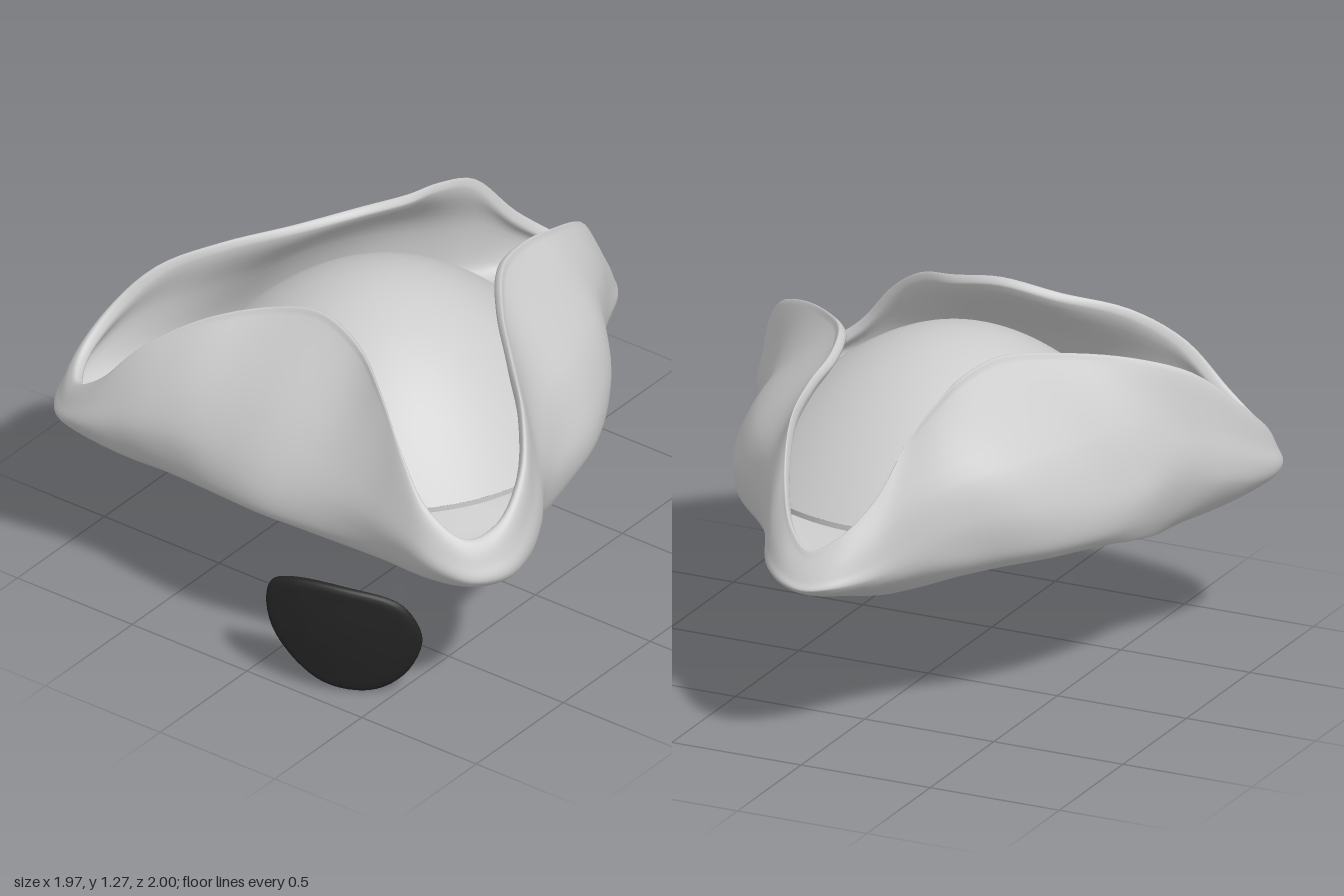
import * as THREE from 'three';

const V = (x, y, z) => new THREE.Vector3(x, y, z);

// Smooth skin through closed rings of matching control points.
function loft(rings, around, along) {
  const curves = rings.map(r => new THREE.CatmullRomCurve3(r, true, 'centripetal'));
  const pos = [], idx = [];
  for (let i = 0; i < around; i++) {
    const section = new THREE.CatmullRomCurve3(curves.map(c => c.getPoint(i / around)), false, 'centripetal');
    for (let j = 0; j <= along; j++) pos.push(...section.getPoint(j / along).toArray());
  }
  const n = along + 1;
  for (let i = 0; i < around; i++) {
    for (let j = 0; j < along; j++) {
      const a = i * n + j, b = ((i + 1) % around) * n + j;
      idx.push(a, a + 1, b, b, a + 1, b + 1);
    }
  }
  const g = new THREE.BufferGeometry();
  g.setAttribute('position', new THREE.Float32BufferAttribute(pos, 3));
  g.setIndex(idx);
  g.computeVertexNormals();
  return g;
}

// Half of the brim from back tip to front centre:
// [degrees around the crown, outer fold x, y, z, top edge x, y, z]
const STATIONS = [
  [0, 0, .645, -1, 0, .77, -.915],
  [8, .1, .655, -.97, .09, .82, -.87],
  [16, .2, .67, -.87, .17, .93, -.76],
  [28, .285, .69, -.7, .225, 1.12, -.6],
  [40, .4, .71, -.52, .24, 1.19, -.42],
  [54, .585, .72, -.32, .245, 1.225, -.25],
  [72, .71, .72, -.08, .3, 1.25, -.06],
  [88, .76, .72, .15, .44, 1.22, .13],
  [102, .81, .71, .36, .62, 1.17, .31],
  [112, .9, .68, .5, .78, 1.09, .46],
  [118, .955, .65, .64, .88, .95, .6],
  [124, .965, .635, .78, .9, .83, .75],
  [130, .89, .635, .89, .84, .79, .85],
  [138, .76, .66, .94, .7, .88, .885],
  [146, .58, .69, .93, .56, 1.04, .85],
  [156, .4, .7, .92, .4, 1.16, .75],
  [168, .2, .7, .94, .2, 1.23, .62],
  [180, 0, .7, .96, 0, 1.27, .575],
];
const CENTRE_Z = 0.2;

// Cross-section of the brim at one station, from the head opening
// out to the fold, up over the top edge and back down to the crown.
function brimSection([deg, ox, oy, oz, ex, ey, ez]) {
  const a = deg * Math.PI / 180;
  const corner = (1 + Math.cos(3 * a)) / 2, side = 1 - corner;
  const frontCorner = deg > 90 ? corner : 0;
  const around = (r, y) => V(r * Math.sin(a), y, CENTRE_Z - r * Math.cos(a));
  const rimY = 0.592 - 0.1 * Math.pow(corner, deg < 60 ? 2.5 : 1.2);
  const rimR = 0.69 + 0.05 * corner;
  const rim = around(rimR, rimY);
  const fold = V(ox, oy, oz), edge = V(ex, ey, ez);
  const out = V(ox, 0, oz - CENTRE_Z).normalize();
  const shift = (p, d, up = 0) => p.clone().addScaledVector(out, d).add(V(0, up, 0));
  const mix = (p, q, t) => p.clone().lerp(q, t);
  const bulge = (deg < 124 ? 0.09 : 0.05) * side + 0.025 * frontCorner;
  const wall = shift(mix(fold, edge, 0.5), bulge + 0.01);
  return [
    around(0.73, 0.72),
    around(rimR - 0.005, rimY + 0.03),
    rim,
    shift(mix(rim, fold, 0.5), 0.022 * side, -0.015 - 0.02 * frontCorner),
    fold,
    shift(mix(fold, wall, 0.4), 0.022 * side + 0.02 * frontCorner),
    wall,
    shift(edge, 0.03 + 0.012 * frontCorner, -0.025),
    shift(edge, 0.012, 0.002),
    shift(edge, -0.012, -0.025),
    shift(wall, -0.045, 0.01),
    shift(mix(fold, rim, 0.35), -0.01, 0.08),
    around(0.73, 0.7),
  ];
}

export function createModel() {
  const model = new THREE.Group();
  const add = (name, geometry, color) => {
    const mesh = new THREE.Mesh(geometry,
      new THREE.MeshStandardMaterial({ color, side: THREE.DoubleSide }));
    mesh.name = name;
    model.add(mesh);
    return mesh;
  };

  // three-cornered brim, mirrored in x
  const half = STATIONS.map(brimSection);
  const mirrored = half.slice(1, -1).reverse().map(s => s.map(p => V(-p.x, p.y, p.z)));
  const sections = [...half, ...mirrored];
  const rings = half[0].map((_, k) => sections.map(s => s[k]));
  add('brim', loft(rings, 170, 60), 0xcccccc);

  // domed crown, a parabola turned about its axis, open below
  const dome = Array.from({ length: 25 }, (_, i) => {
    const r = 0.73 * (1 - i / 24);
    return new THREE.Vector2(r, 1.21 - 0.92 * r * r);
  });
  const crown = add('crown', new THREE.LatheGeometry(dome, 64), 0xcccccc);
  crown.position.z = CENTRE_Z;

  // eye patch: thin plate curved around the face
  const outline = [[.07, .34], [.09, .4], [.17, .43], [.35, .42], [.5, .37], [.55, .3], [.57, .21],
    [.53, .09], [.46, .02], [.38, 0], [.28, .025], [.19, .1], [.1, .22]];
  const layers = [[.002, .035], [.5, .035], [.93, .035], [1, .018], [.95, 0], [.7, 0], [.35, 0], [.002, 0]];
  const patch = layers.map(([s, depth]) => outline.map(([px, py]) => {
    const x = .33 + (px - .33) * s, y = .23 + (py - .23) * s;
    return V(x, y, 1 - .24 * ((x - .07) / .5) ** 2 - .02 * ((y - .23) / .2) ** 2 - depth);
  }));
  add('eyePatch', loft(patch, 52, 21), 0x222222);

  return model;
}
